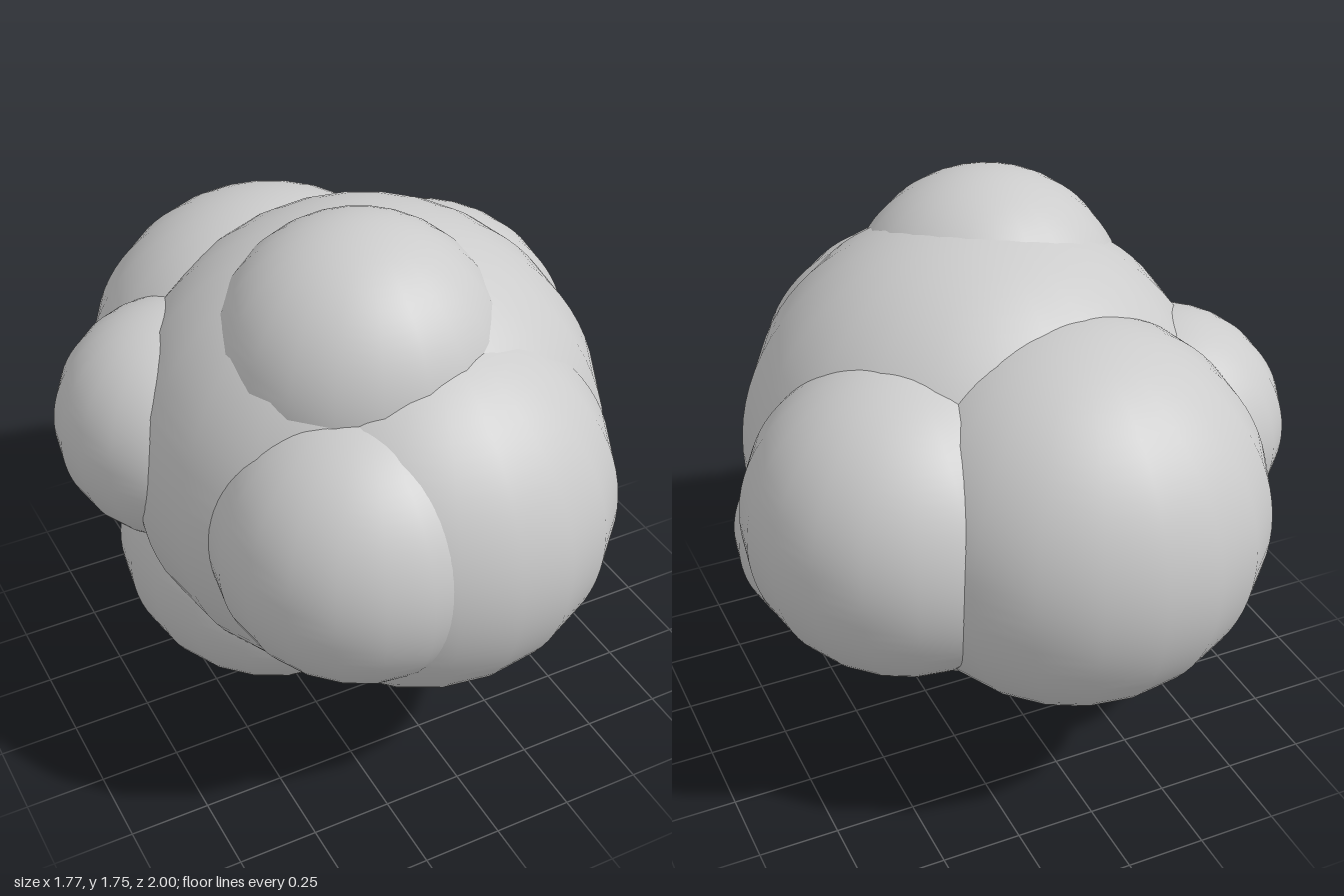
import * as THREE from 'three';

export function createModel() {
  const group = new THREE.Group();
  const material = new THREE.MeshStandardMaterial({ color: 0xcccccc });

  // Overlapping balls: name, radius, centre x, y, z
  const balls = [
    ['core', 0.75, 0.01, 0.91, 0.08],
    ['frontBall', 0.595, 0.03, 0.9, 0.4],
    ['frontSideBall', 0.445, -0.23, 0.93, 0.52],
    ['topBall', 0.44, -0.08, 1.305, 0.22],
    ['backBall', 0.597, -0.08, 0.915, -0.403],
    ['leftBall', 0.493, 0.39, 0.93, -0.24],
    ['rightBall', 0.38, -0.505, 0.98, -0.18],
    ['bottomBall', 0.498, -0.23, 0.498, -0.1],
    ['lowerLeftBall', 0.365, 0.415, 0.56, 0.26],
  ];

  for (const [name, radius, x, y, z] of balls) {
    const ball = new THREE.Mesh(new THREE.SphereGeometry(radius, 20, 40), material);
    ball.name = name;
    ball.position.set(x, y, z);
    group.add(ball);
  }
  return group;
}
